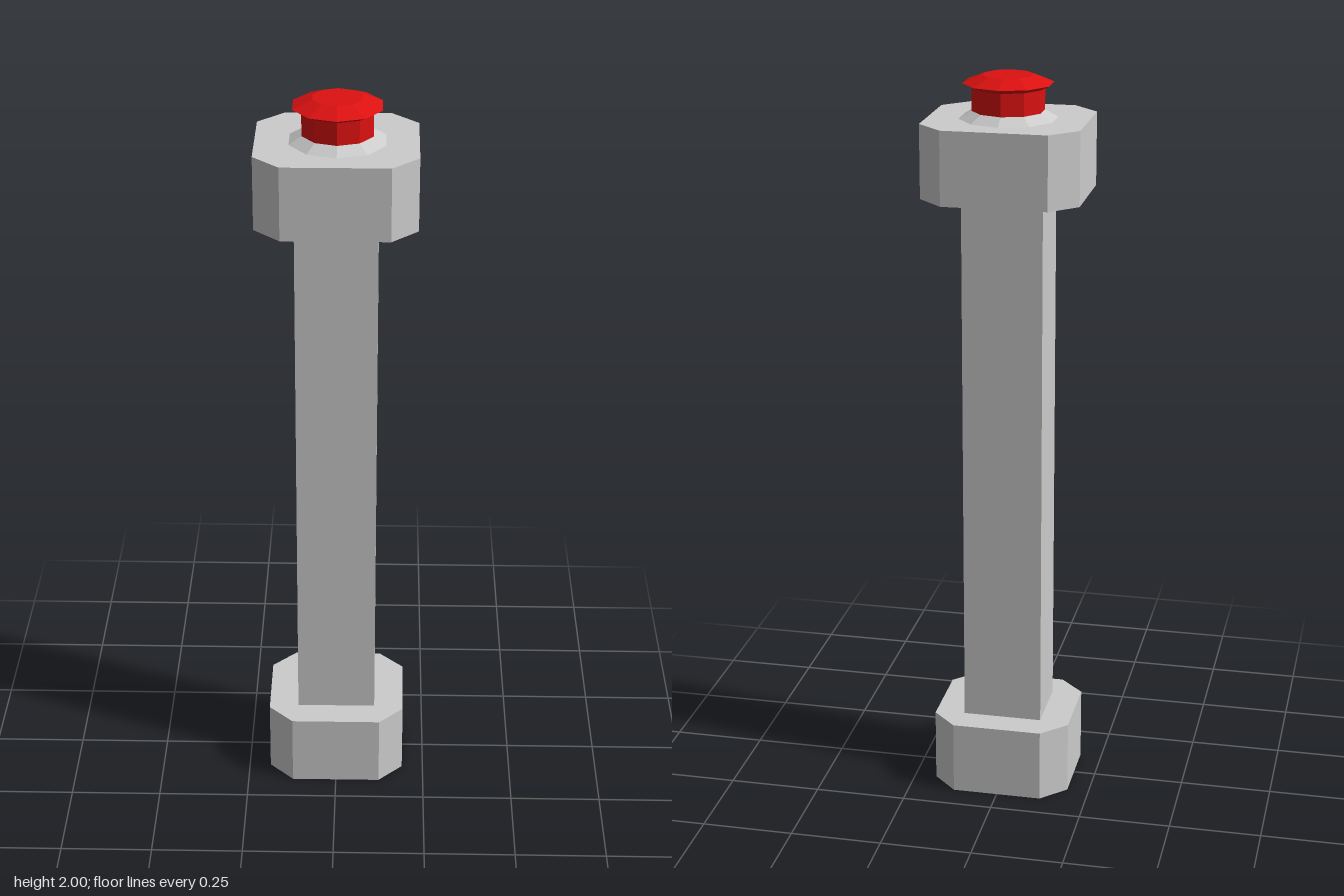
import * as THREE from 'three';

const grey = new THREE.MeshStandardMaterial({ color: 0xcccccc, flatShading: true });
const red = new THREE.MeshStandardMaterial({ color: 0xdd1111, flatShading: true });

// Upright block with its four vertical corners cut off
function chamferedBlock(name, halfX, halfZ, cut, bottom, height) {
  const x = halfX - cut, z = halfZ - cut;
  const outline = new THREE.Shape([
    [halfX, -z], [halfX, z], [x, halfZ], [-x, halfZ],
    [-halfX, z], [-halfX, -z], [-x, -halfZ], [x, -halfZ],
  ].map(([a, b]) => new THREE.Vector2(a, b)));
  const geometry = new THREE.ExtrudeGeometry(outline, { depth: height, bevelEnabled: false });
  geometry.rotateX(-Math.PI / 2).translate(0, bottom, 0);
  const mesh = new THREE.Mesh(geometry, grey);
  mesh.name = name;
  return mesh;
}

// Ten-sided turned part from [radius, height] pairs, bottom to top
function turned(name, profile, material) {
  const points = profile.map(([r, y]) => new THREE.Vector2(r, y));
  const mesh = new THREE.Mesh(new THREE.LatheGeometry(points, 10), material);
  mesh.name = name;
  mesh.position.x = 0.002;
  return mesh;
}

export function createModel() {
  const model = new THREE.Group();
  model.name = 'buttonPost';

  // Foot and head blocks
  model.add(chamferedBlock('base', 0.19, 0.173, 0.067, 0, 0.203));
  model.add(chamferedBlock('head', 0.21, 0.194, 0.07, 1.69, 0.197));

  // Rectangular shaft between them
  const shaft = new THREE.Mesh(new THREE.BoxGeometry(0.217, 1.487, 0.186), grey);
  shaft.name = 'shaft';
  shaft.position.y = 0.203 + 1.487 / 2;
  model.add(shaft);

  // Sloped collar around the button
  model.add(turned('collar', [[0.13, 1.887], [0.096, 1.907], [0, 1.907]], grey));

  // Push button: stem, flared rim and flat top
  model.add(turned('button', [
    [0.096, 1.905], [0.096, 1.967], [0.12, 1.979], [0.067, 2], [0, 2],
  ], red));

  return model;
}
